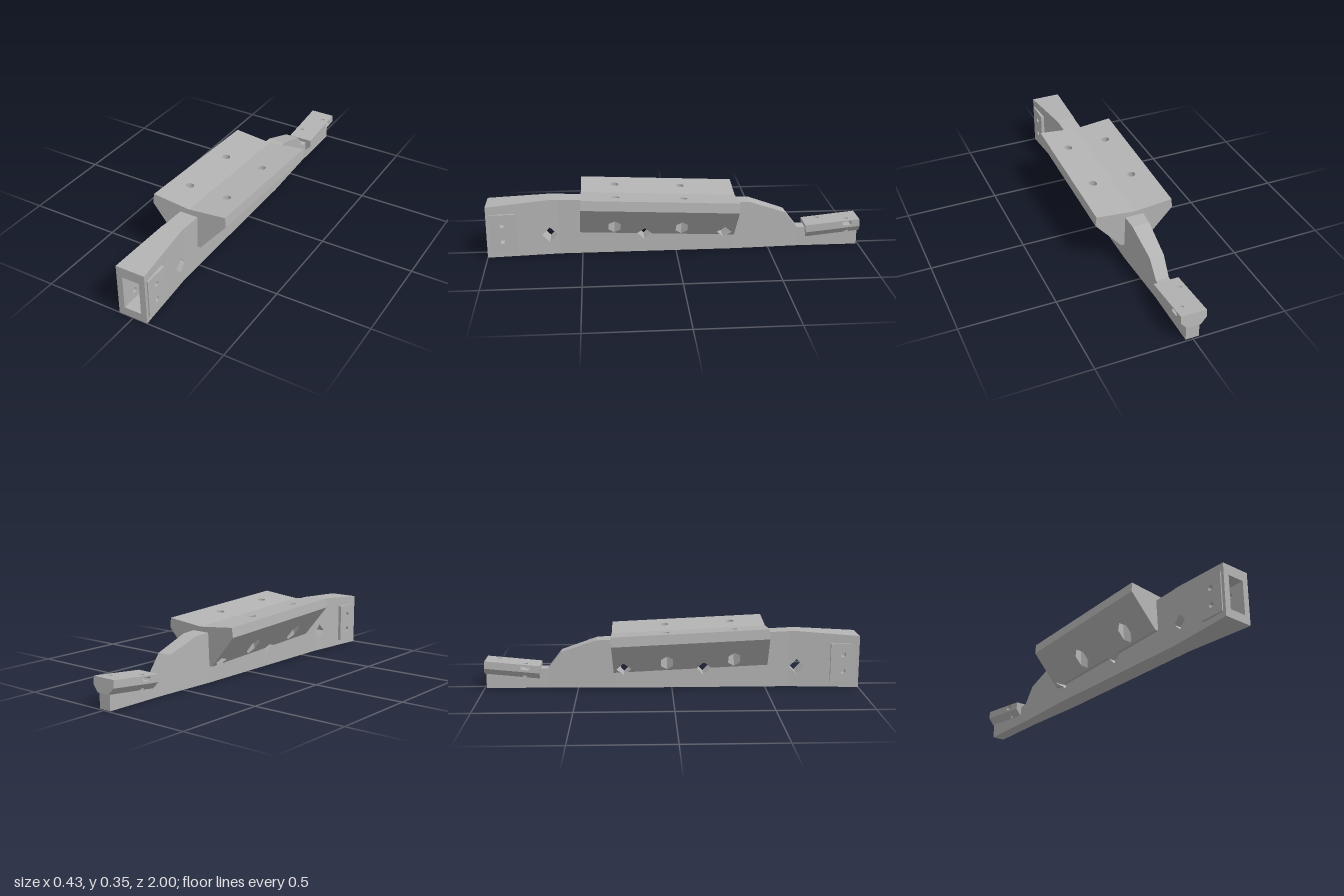
import * as THREE from 'three';
import { mergeGeometries } from 'three/addons/utils/BufferGeometryUtils.js';

const grey = new THREE.MeshStandardMaterial({ color: 0xb3b3b3, side: THREE.DoubleSide });
grey.name = 'plain grey';

// Flat outline with holes, each 2D point placed in space by map(u, v)
function sheet(outline, holes, map) {
  const v2 = (list) => list.map(([u, v]) => new THREE.Vector2(u, v));
  const shape = new THREE.Shape(v2(outline));
  holes.forEach((h) => shape.holes.push(new THREE.Path(v2(h))));
  const geo = new THREE.ShapeGeometry(shape).toNonIndexed();
  const p = geo.attributes.position;
  for (let i = 0; i < p.count; i++) p.setXYZ(i, ...map(p.getX(i), p.getY(i)));
  geo.deleteAttribute('uv');
  geo.computeVertexNormals();
  return geo;
}

// Quads joining two matching rows of points
function loft(a, b, closed = false) {
  const pos = [];
  const n = a.length;
  for (let i = 0; i < (closed ? n : n - 1); i++) {
    const j = (i + 1) % n;
    pos.push(...a[i], ...a[j], ...b[j], ...a[i], ...b[j], ...b[i]);
  }
  const geo = new THREE.BufferGeometry();
  geo.setAttribute('position', new THREE.Float32BufferAttribute(pos, 3));
  geo.computeVertexNormals();
  return geo;
}

// Tube whose two rims are the same outline under two maps
const wall = (outline, mapA, mapB, closed = true) =>
  loft(outline.map((p) => mapA(...p)), outline.map((p) => mapB(...p)), closed);

const ring = (cu, cv, r, n = 20) => Array.from({ length: n }, (_, i) => {
  const a = (i / n) * Math.PI * 2;
  return [cu + r * Math.cos(a), cv + r * Math.sin(a)];
});
const rect = (u0, v0, u1, v1) => [[u0, v0], [u1, v0], [u1, v1], [u0, v1]];
const atX = (x) => (z, y) => [x, y, z];
const atZ = (z) => (x, y) => [x, y, z];

function part(name, geos) {
  const mesh = new THREE.Mesh(mergeGeometries(geos), grey);
  mesh.name = name;
  return mesh;
}

// Round bolt holes shared by side plates, body walls and socket
const plateHoles = [ring(0.915, 0.18, 0.014), ring(0.915, 0.09, 0.014)];

// Half width of the beam along its length
function halfWidth(z) {
  if (z > 0.625) return 0.05 + 0.03 * (z - 0.625) / 0.375;
  if (z > -0.31) return 0.05;
  return Math.max(0.035, 0.05 - 0.015 * (-0.31 - z) / 0.35);
}

function beam() {
  const top = [[1, 0.28], [0.66, 0.305], [0.625, 0.3035], [-0.31, 0.264],
    [-0.4, 0.26], [-0.59, 0.195], [-0.66, 0.105], [-0.99, 0.107]];
  const diamonds = [0.67, 0.17, -0.255].map((z) => ring(z, 0.11, 0.041, 4));
  const side = (s) => (z, y) => [s * halfWidth(z), y, z];
  const geos = [];
  // side walls, split where the taper changes
  const spans = [[0, 2, [diamonds[0], ...plateHoles]], [2, 3, diamonds.slice(1)], [3, 6, []], [6, 7, []]];
  for (const s of [-1, 1]) {
    for (const [a, b, holes] of spans) {
      geos.push(sheet([[top[a][0], 0], ...top.slice(a, b + 1), [top[b][0], 0]], holes, side(s)));
    }
  }
  // top, bottom, rear end and diamond tunnels
  geos.push(wall(top, side(-1), side(1), false));
  geos.push(wall(top.map(([z]) => [z, 0]), side(1), side(-1), false));
  geos.push(sheet(rect(-0.035, 0, 0.035, 0.107), [], atZ(-0.99)));
  diamonds.forEach((d) => geos.push(wall(d, side(-1), side(1))));
  // front face with its open socket
  const mouth = rect(-0.047, 0.045, 0.047, 0.225);
  geos.push(sheet(rect(-0.08, 0, 0.08, 0.28), [mouth], atZ(1)));
  geos.push(sheet(mouth, [], atZ(0.8)));
  for (const y of [0.045, 0.225]) {
    geos.push(sheet(rect(-0.047, 0.8, 0.047, 1), [], (x, z) => [x, y, z]));
  }
  for (const s of [-1, 1]) geos.push(sheet(rect(0.8, 0.045, 1, 0.225), plateHoles, atX(s * 0.047)));
  return part('beam', geos);
}

function sidePlate(s) {
  const edge = rect(0.847, 0.032, 0.982, 0.238);
  return part(s > 0 ? 'leftSidePlate' : 'rightSidePlate', [
    sheet(edge, plateHoles, atX(s * 0.085)),
    wall(edge, atX(s * 0.06), atX(s * 0.085)),
    ...plateHoles.map((h) => wall(h, atX(s * 0.047), atX(s * 0.085))),
  ]);
}

// Winged platform with a shallow V top and sloping undersides
function platform() {
  const z0 = -0.306, z1 = 0.516, low = 0.101, ceiling = 0.225, inner = 0.045;
  const topY = (x) => 0.303 + 0.021 * x / 0.208;
  const slopeY = (x) => low + (x - 0.068) * 1.18;
  const slopeX = (y) => 0.068 + (y - low) / 1.18;
  // diamond notches in the lower edge, as (z, y)
  const notches = [
    [[-0.269, low], [-0.29, 0.122], [-0.25, 0.162], [-0.21, 0.122], [-0.231, low]],
    [[0.135, low], [0.175, 0.142], [0.215, low]],
  ];
  const bolts = [-0.02, 0.336];
  const circles = bolts.map((z) => ring(0.11, z, 0.021));
  const hexes = bolts.map((z) => ring(0.11, z, 0.037, 6));
  const half = [[0.208, 0.324], [0.213, 0.272], [0.068, low], [inner, low]];
  const geos = [];
  for (const s of [-1, 1]) {
    const topMap = (x, z) => [s * x, topY(x), z];
    const slopeMap = (x, z) => [s * x, slopeY(x), z];
    const ceilMap = (x, z) => [s * x, ceiling, z];
    geos.push(sheet(rect(0, z0, 0.208, z1), circles, topMap));
    geos.push(loft([[s * 0.208, 0.324, z0], [s * 0.208, 0.324, z1]],
      [[s * 0.213, 0.272, z0], [s * 0.213, 0.272, z1]]));
    const cut = notches.flat().map(([z, y]) => [slopeX(y), z]);
    geos.push(sheet([[0.068, z0], ...cut, [0.068, z1], [0.213, z1], [0.213, z0]], hexes, slopeMap));
    // narrow flat underside between notches
    for (const [a, b] of [[z0, -0.269], [-0.231, 0.135], [0.215, z1]]) {
      geos.push(sheet(rect(inner, a, 0.068, b), [], (x, z) => [s * x, low, z]));
    }
    notches.forEach((n) => geos.push(
      wall(n, (z, y) => [s * slopeX(y), y, z], (z, y) => [s * inner, y, z], false)));
    // bolt holes with hexagonal nut pockets
    bolts.forEach((_, i) => geos.push(
      wall(circles[i], ceilMap, topMap),
      wall(hexes[i], slopeMap, ceilMap),
      sheet(hexes[i], [circles[i]], ceilMap)));
  }
  const end = [[0, 0.303], ...half, ...half.map(([x, y]) => [-x, y]).reverse()];
  geos.push(sheet(end, [], atZ(z0)), sheet(end, [], atZ(z1)));
  const mesh = part('wingedPlatform', geos);
  mesh.rotation.x = -0.046;
  return mesh;
}

// Small tilted mounting pad at the rear
function rearPad() {
  const z0 = -1.003, z1 = -0.708, top = 0.055, mid = 0.015, low = -0.02;
  const boltZ = { 1: -0.935, '-1': -0.788 };
  const topMap = (x, z) => [x, top, z];
  const circles = [1, -1].map((s) => ring(s * 0.032, boltZ[s], 0.013));
  const geos = [sheet(rect(-0.067, z0, 0.067, z1), circles, topMap),
    sheet(rect(-0.035, z0, 0.035, z1), [], (x, z) => [x, low, z])];
  circles.forEach((c) => geos.push(wall(c, topMap, (x, z) => [x, 0.049, z])));
  for (const s of [-1, 1]) {
    const z = boltZ[s];
    // side face with nut slot
    const slot = [[z - 0.026, 0.038], [z - 0.02, 0.027], [z + 0.02, 0.027],
      [z + 0.026, 0.038], [z + 0.02, 0.049], [z - 0.02, 0.049]];
    geos.push(sheet(rect(z0, mid, z1, top), [slot], atX(s * 0.067)));
    geos.push(wall(slot, atX(s * 0.067), atX(s * 0.008)), sheet(slot, [], atX(s * 0.008)));
    // sloping underside with a small bolt notch
    const slope = (x, zz) => [s * x, low + (x - 0.035) * 0.035 / 0.032, zz];
    const notch = [[0.035, z - 0.013], [0.046, z - 0.008], [0.046, z + 0.008], [0.035, z + 0.013]];
    geos.push(sheet([[0.035, z0], ...notch, [0.035, z1], [0.067, z1], [0.067, z0]], [], slope));
    geos.push(wall(notch, slope, (x, zz) => [s * x, 0.027, zz], false));
  }
  const end = [[-0.067, top], [0.067, top], [0.067, mid], [0.035, low], [-0.035, low], [-0.067, mid]];
  geos.push(sheet(end, [], atZ(z0)), sheet(end, [], atZ(z1)));
  const mesh = part('rearPad', geos);
  mesh.rotation.x = 0.1;
  return mesh;
}

export function createModel() {
  const model = new THREE.Group();
  model.name = 'mountingBeam';
  model.add(beam(), sidePlate(1), sidePlate(-1), platform(), rearPad());
  return model;
}
